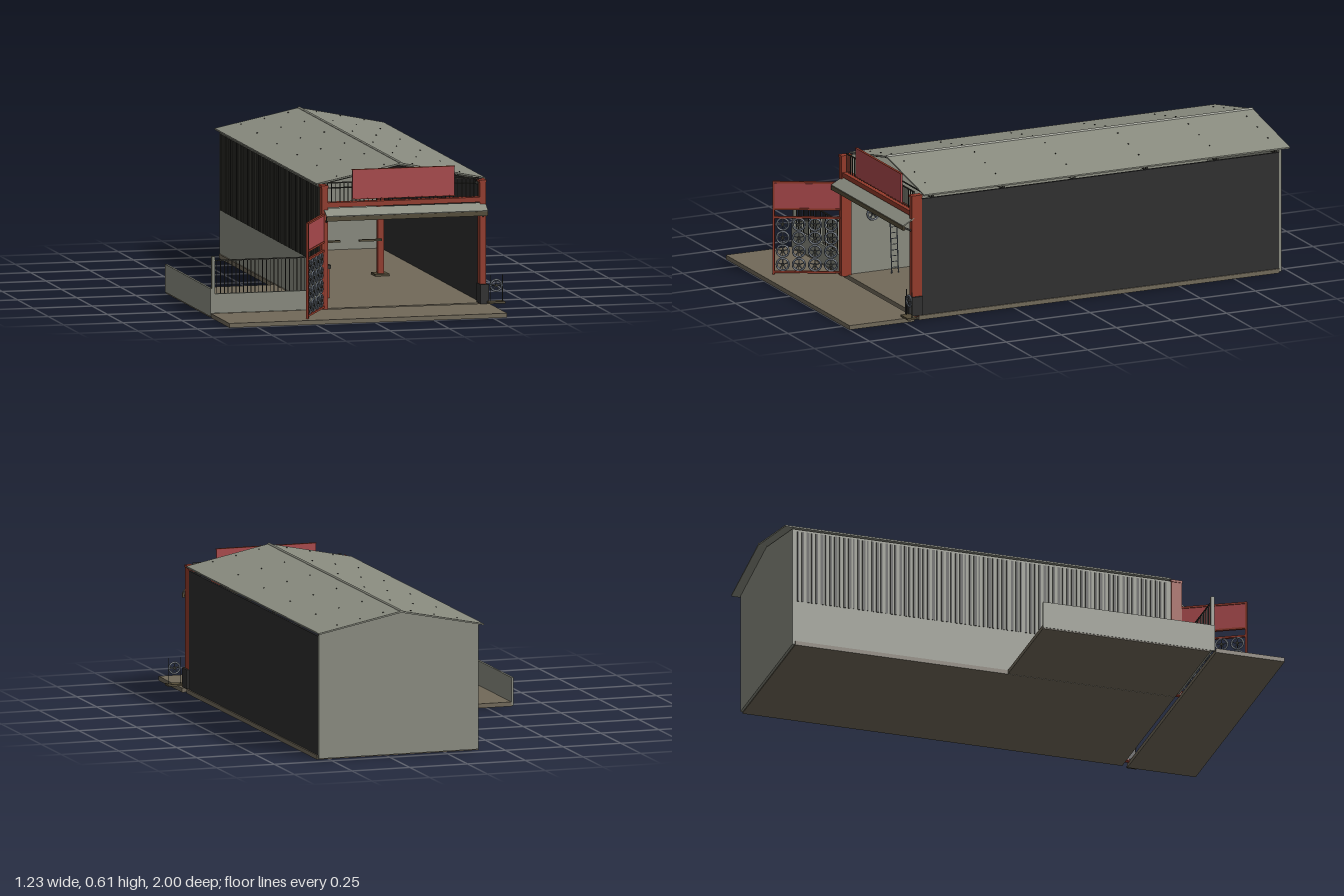
import * as THREE from 'three';

const mat = (name, color, side = THREE.FrontSide) => {
  const m = new THREE.MeshStandardMaterial({ color, side });
  m.name = name;
  return m;
};

export function createModel() {
  const root = new THREE.Group();
  root.name = 'garageWorkshop';
  const grey = mat('concreteGrey', 0x8a8c80, THREE.DoubleSide);
  const brown = mat('floorBrown', 0x716959);
  const black = mat('darkCladding', 0x2e2e2e);
  const red = mat('rustRed', 0x943a2a);
  const sign = mat('signRed', 0xab494c);
  const steel = mat('wheelSteel', 0x69717c);
  const iron = mat('darkIron', 0x35352f);
  const olive = mat('oliveBeam', 0x544c38);

  const add = (parent, name, geo, m) => {
    const mesh = new THREE.Mesh(geo, m);
    mesh.name = name;
    parent.add(mesh);
    return mesh;
  };
  // Box given by its minimum and maximum corners
  const box = (name, m, x0, x1, y0, y1, z0, z1, parent = root) => {
    const b = add(parent, name, new THREE.BoxGeometry(x1 - x0, y1 - y0, z1 - z0), m);
    b.position.set((x0 + x1) / 2, (y0 + y1) / 2, (z0 + z1) / 2);
    return b;
  };
  // Round bar between two points
  const bar = (name, m, a, b, r, parent = root) => {
    const p = new THREE.Vector3(...a), q = new THREE.Vector3(...b), d = q.clone().sub(p);
    const c = add(parent, name, new THREE.CylinderGeometry(r, r, d.length(), 6), m);
    c.position.copy(p).add(q).multiplyScalar(0.5);
    c.quaternion.setFromUnitVectors(new THREE.Vector3(0, 1, 0), d.normalize());
    return c;
  };
  // Spoked wheel facing z
  const wheel = (parent, x, y, z, r) => {
    const g = new THREE.Group();
    g.name = 'wheel';
    g.position.set(x, y, z);
    add(g, 'rim', new THREE.TorusGeometry(r * 0.86, r * 0.15, 6, 20), steel);
    add(g, 'hub', new THREE.CylinderGeometry(r * 0.22, r * 0.22, r * 0.4, 10), iron).rotation.x = Math.PI / 2;
    for (let i = 0; i < 5; i++) {
      const a = i * Math.PI * 0.4 + Math.PI / 2;
      bar('spoke', steel, [0, 0, 0], [Math.cos(a) * r * 0.8, Math.sin(a) * r * 0.8, 0], r * 0.09, g);
    }
    parent.add(g);
    return g;
  };

  // Ground slabs
  box('hallFloor', brown, -0.15, 0.55, 0, 0.018, -0.955, 0.68);
  box('yardFloor', brown, -0.615, -0.152, 0, 0.018, -0.04, 0.68);
  box('forecourt', brown, -0.615, 0.56, 0, 0.018, 0.705, 1);

  // Hall walls
  box('rightWall', black, 0.535, 0.545, 0.018, 0.512, -0.955, 0.665);
  box('leftLowerWall', grey, -0.145, -0.135, 0.018, 0.2, -0.955, 0.665);
  box('leftUpperWall', grey, -0.143, -0.135, 0.2, 0.525, -0.955, 0.665);
  for (let i = 0; i < 80; i++) {
    const z = -0.945 + i * 0.02, w = 0.006 + 0.003 * ((i * 7) % 3);
    box('claddingRib', iron, -0.148, -0.143, 0.2, 0.515, z, z + w);
  }
  const gable = new THREE.Shape();
  [[-0.145, 0.005], [0.545, 0.005], [0.545, 0.525], [0.2, 0.595], [-0.145, 0.525]]
    .forEach(([x, y], i) => (i ? gable.lineTo(x, y) : gable.moveTo(x, y)));
  add(root, 'backWall', new THREE.ExtrudeGeometry(gable, { depth: 0.01, bevelEnabled: false }), grey).position.z = -0.965;

  // Roof sheets, ridge cap and bolts
  const roof = new THREE.Shape();
  [[-0.157, 0.526], [0.2, 0.598], [0.557, 0.526], [0.557, 0.532], [0.2, 0.605], [-0.157, 0.532]]
    .forEach(([x, y], i) => (i ? roof.lineTo(x, y) : roof.moveTo(x, y)));
  add(root, 'roof', new THREE.ExtrudeGeometry(roof, { depth: 1.66, bevelEnabled: false }), grey).position.z = -1;
  bar('ridgeCap', grey, [0.2, 0.603, -1], [0.2, 0.603, 0.66], 0.007);
  const frames = [0.61, 0.29, -0.03, -0.36, -0.68, -0.945];
  for (const z of frames) {
    for (const s of [-1, 1]) {
      const x = 0.2 + s * 0.333;
      box('eavePost', iron, x - 0.004, x + 0.004, 0.5, 0.528, z - 0.005, z + 0.005);
      bar('rafter', iron, [x, 0.522, z], [0.2, 0.59, z], 0.004);
      for (const d of [0.06, 0.16, 0.26])
        box('roofBolt', iron, 0.2 + s * d - 0.002, 0.2 + s * d + 0.002, 0.603 - d * 0.2045, 0.608 - d * 0.2045, z - 0.002, z + 0.002);
    }
    bar('tieBeam', iron, [-0.135, 0.505, z], [0.535, 0.505, z], 0.003);
  }

  // Entrance frame
  for (const x of [-0.135, 0.533]) {
    box('entrancePillar', red, x - 0.012, x + 0.012, 0.015, 0.528, 0.665, 0.71);
    box('pillarCap', red, x - 0.015, x + 0.015, 0.52, 0.53, 0.663, 0.712);
  }
  box('entranceBeam', red, -0.125, 0.522, 0.438, 0.458, 0.67, 0.705);
  box('upperRail', iron, -0.123, 0.521, 0.535, 0.54, 0.685, 0.69);
  for (let i = 0; i < 38; i++) {
    const x = -0.118 + i * 0.0172;
    box('railBar', iron, x - 0.0016, x + 0.0016, 0.458, 0.54, 0.686, 0.689);
  }
  box('signBoard', sign, -0.015, 0.416, 0.47, 0.588, 0.691, 0.699);
  box('signTrim', red, -0.017, 0.418, 0.467, 0.47, 0.69, 0.7);
  box('signTrim', red, -0.017, 0.418, 0.588, 0.591, 0.69, 0.7);

  // Awning over the entrance
  const awning = box('awning', grey, -0.138, 0.545, 0.417, 0.422, 0.696, 0.752);
  awning.rotation.x = 0.5;
  box('awningFascia', olive, -0.138, 0.545, 0.387, 0.405, 0.742, 0.75);
  for (const x of [-0.13, 0.534])
    bar('awningBracket', iron, [x, 0.378, 0.705], [x, 0.4, 0.748], 0.004);

  // Yard walls and railing
  box('yardFrontWall', grey, -0.615, -0.145, 0.018, 0.098, 0.684, 0.7);
  box('yardSideWall', grey, -0.617, -0.608, 0.005, 0.12, -0.04, 0.7);
  box('yardPost', grey, -0.61, -0.597, 0.018, 0.252, 0.685, 0.699);
  box('railingTop', iron, -0.6, -0.145, 0.232, 0.237, 0.689, 0.694);
  for (let i = 0; i < 28; i++) {
    const x = -0.588 + i * 0.0162;
    box('railingBar', iron, x - 0.0014, x + 0.0014, 0.098, 0.234, 0.69, 0.693);
  }

  // Open gate with rows of wheels
  const gate = new THREE.Group();
  gate.name = 'gate';
  gate.position.set(-0.14, 0, 0.705);
  gate.rotation.y = Math.atan2(-0.24, -0.13);
  root.add(gate);
  const L = 0.275;
  box('gatePanel', sign, 0.004, L - 0.004, 0.298, 0.405, -0.003, 0.003, gate);
  for (const x of [0, L]) box('gateStile', red, x - 0.004, x + 0.004, 0.018, 0.414, -0.005, 0.005, gate);
  for (const y of [0.029, 0.261, 0.297, 0.41]) box('gateRail', red, 0, L, y - 0.004, y + 0.004, -0.005, 0.005, gate);
  for (let i = 0; i < 4; i++)
    for (let j = 0; j < 4; j++) wheel(gate, 0.04 + i * 0.066, 0.06 + j * 0.057, 0, 0.029);
  for (let i = 0; i < 4; i++)
    bar('gateRod', iron, [0.04 + i * 0.066, 0.03, 0], [0.04 + i * 0.066, 0.26, 0], 0.0016, gate);

  // Wheel stand beside the right pillar
  box('cornerBlock', black, 0.518, 0.553, 0.02, 0.1, 0.665, 0.728);
  box('standShelf', olive, 0.545, 0.614, 0.024, 0.032, 0.72, 0.762);
  for (const x of [0.556, 0.608]) bar('standPost', iron, [x, 0.03, 0.74], [x, 0.14, 0.74], 0.002);
  bar('standAxle', iron, [0.556, 0.097, 0.74], [0.608, 0.097, 0.74], 0.002);
  wheel(root, 0.581, 0.097, 0.74, 0.027);

  // Two-post vehicle lift
  for (const s of [-1, 1]) {
    const x = 0.2 + s * 0.135;
    box('liftPost', red, x - 0.0125, x + 0.0125, 0.018, 0.353, -0.215, -0.185);
    box('liftBase', olive, x - 0.03, x + 0.03, 0.018, 0.027, -0.235, -0.165);
    const a = 0.2 + s * 0.04;
    box('liftArm', olive, Math.min(a, x), Math.max(a, x), 0.163, 0.171, -0.184, -0.17);
  }

  // Workshop equipment along the left wall
  box('toolCabinet', red, -0.108, 0, 0.018, 0.12, 0.06, 0.16);
  box('cabinetTop', iron, -0.11, 0.002, 0.12, 0.125, 0.058, 0.162);
  add(root, 'drum', new THREE.CylinderGeometry(0.02, 0.02, 0.122, 16), red).position.set(-0.05, 0.079, 0.38);
  box('drumHead', iron, -0.077, -0.028, 0.14, 0.155, 0.36, 0.4);

  // Ladder leaning on the left wall
  for (const z of [0.475, 0.505]) bar('ladderStile', steel, [-0.075, 0.018, z], [-0.098, 0.33, z], 0.0025);
  for (let i = 1; i < 13; i++) {
    const t = i / 13, x = -0.075 - 0.023 * t, y = 0.018 + 0.312 * t;
    bar('ladderRung', steel, [x, y, 0.475], [x, y, 0.505], 0.0018);
  }

  // Wheels hung on the left wall
  for (const y of [0.27, 0.335, 0.4])
    for (const z of [0.5, 0.57]) wheel(root, -0.115, y, z, 0.03).rotation.y = Math.PI / 2;

  return root;
}
